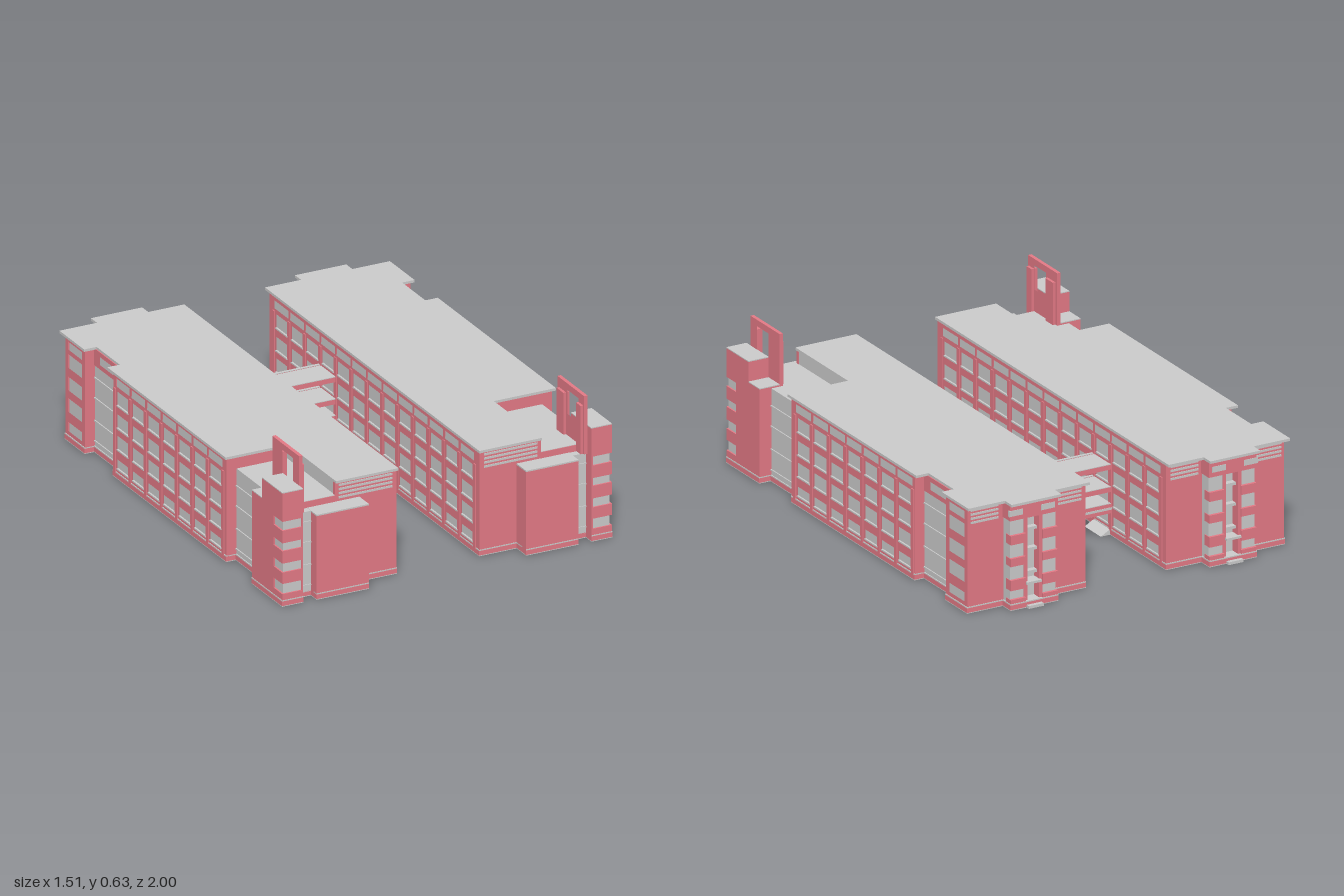
import * as THREE from 'three';

const grey = new THREE.MeshStandardMaterial({ color: 0xcccccc });
const brick = new THREE.MeshStandardMaterial({ color: 0xe47a86 });

const ROWS = [[0.045, 0.085], [0.13, 0.19], [0.225, 0.285], [0.325, 0.385]];
const TOP_STRIP = [0.405, 0.44];
const TOWER_ROWS = [[0.055, 0.1], [0.15, 0.19], [0.245, 0.28], [0.335, 0.375]];
const FLOORS = [0.05, 0.14, 0.24, 0.33];

function add(group, name, mat, geo) {
  const mesh = new THREE.Mesh(geo, mat);
  mesh.name = name;
  group.add(mesh);
}

// Box given by its extents on each axis
function box(group, name, mat, x0, x1, y0, y1, z0, z1) {
  const geo = new THREE.BoxGeometry(x1 - x0, y1 - y0, z1 - z0);
  add(group, name, mat, geo.translate((x0 + x1) / 2, (y0 + y1) / 2, (z0 + z1) / 2));
}

// Horizontal slab from an outline of [x, z] points
function slab(group, name, mat, outline, y0, y1) {
  const shape = new THREE.Shape(outline.map(([x, z]) => new THREE.Vector2(x, z)));
  const geo = new THREE.ExtrudeGeometry(shape, { depth: y1 - y0, bevelEnabled: false });
  add(group, name, mat, geo.rotateX(Math.PI / 2).translate(0, y1, 0));
}

// Upright wall with rectangular openings [u0, u1, v0, v1]; u runs along z (axis 'x') or x (axis 'z')
function wall(group, name, axis, plane, depth, u0, u1, v0, v1, holes = []) {
  const k = axis === 'x' ? -1 : 1;
  const rect = (path, a, b, c, d) => {
    path.moveTo(k * a, c); path.lineTo(k * b, c); path.lineTo(k * b, d); path.lineTo(k * a, d); path.closePath();
    return path;
  };
  const shape = rect(new THREE.Shape(), u0, u1, v0, v1);
  holes.forEach((h) => shape.holes.push(rect(new THREE.Path(), ...h)));
  const geo = new THREE.ExtrudeGeometry(shape, { depth, bevelEnabled: false });
  if (axis === 'x') geo.rotateY(Math.PI / 2).translate(plane, 0, 0);
  else geo.translate(0, 0, plane);
  add(group, name, brick, geo);
}

// Window openings for a row of bays
function bays(centres, width, stripWidth) {
  return centres.flatMap((c) => [
    ...ROWS.map(([a, b]) => [c - width / 2, c + width / 2, a, b]),
    [c - stripWidth / 2, c + stripWidth / 2, ...TOP_STRIP],
  ]);
}

const spaced = (n, first, step) => Array.from({ length: n }, (_, i) => first + i * step);

function louvres(g, x0, x1, z0, z1) {
  for (let i = 0; i < 4; i++) box(g, 'louvre', grey, x0, x1, 0.388 + i * 0.018, 0.397 + i * 0.018, z0, z1);
}

function buildWing() {
  const g = new THREE.Group();

  // Plinth
  const foot = [[0.188, 0.917], [0.36, 0.917], [0.36, 1], [0.6, 1], [0.6, 0.95], [0.66, 0.95], [0.66, 0.998],
    [0.757, 0.998], [0.757, 0.73], [0.704, 0.73], [0.704, 0.492], [0.748, 0.492], [0.748, -0.497], [0.704, -0.497],
    [0.704, -0.743], [0.748, -0.743], [0.748, -0.918], [0.58, -0.918], [0.58, -0.982], [0.355, -0.982],
    [0.355, -0.918], [0.188, -0.918]];
  slab(g, 'groundPlate', grey, foot, 0, 0.003);
  slab(g, 'plinth', brick, foot, 0.003, 0.023);
  slab(g, 'plinthCourse', grey, foot, 0.023, 0.028);

  // Glazed cores behind the brick walls
  box(g, 'mainCore', grey, 0.2, 0.735, 0.02, 0.46, -0.495, 0.48);
  box(g, 'recessCore', grey, 0.2, 0.7, 0.02, 0.46, -0.745, -0.495);
  box(g, 'rearCore', grey, 0.2, 0.735, 0.02, 0.46, -0.905, -0.745);
  box(g, 'frontCore', grey, 0.2, 0.47, 0.02, 0.46, 0.48, 0.905);
  box(g, 'lowFrontCore', grey, 0.47, 0.7, 0.02, 0.405, 0.49, 0.915);

  // Long walls with windows
  const outer = spaced(7, -0.415, 0.135);
  const inner = spaced(13, -0.81, 0.135);
  wall(g, 'outerWall', 'x', 0.733, 0.012, -0.495, 0.49, 0.02, 0.46, bays(outer, 0.093, 0.12));
  wall(g, 'innerWall', 'x', 0.19, 0.012, -0.915, 0.915, 0.02, 0.46, bays(inner, 0.093, 0.12));
  wall(g, 'rearOuterWall', 'x', 0.733, 0.012, -0.915, -0.745, 0.02, 0.46, bays([-0.832], 0.12, 0.12));
  wall(g, 'recessHeader', 'x', 0.7, 0.004, -0.745, -0.495, 0.385, 0.46, [[-0.69, -0.55, ...TOP_STRIP]]);
  for (const z of spaced(8, -0.482, 0.135)) box(g, 'outerPilaster', brick, 0.744, 0.75, 0.02, 0.395, z - 0.009, z + 0.009);
  for (const z of spaced(14, -0.877, 0.135)) box(g, 'innerPilaster', brick, 0.186, 0.191, 0.02, 0.395, z - 0.009, z + 0.009);
  for (const c of outer) for (const [y] of ROWS) box(g, 'outerSill', grey, 0.74, 0.748, y - 0.006, y, c - 0.05, c + 0.05);
  for (const c of inner) for (const [y] of ROWS) box(g, 'innerSill', grey, 0.187, 0.195, y - 0.006, y, c - 0.05, c + 0.05);

  // Cross walls
  box(g, 'frontReturn', brick, 0.46, 0.745, 0.02, 0.46, 0.478, 0.492);
  box(g, 'recessReturn', brick, 0.69, 0.745, 0.02, 0.46, -0.497, -0.485);
  box(g, 'recessReturn', brick, 0.69, 0.745, 0.02, 0.46, -0.755, -0.743);
  box(g, 'frontWall', brick, 0.19, 0.472, 0.02, 0.46, 0.9, 0.916);
  box(g, 'lowFrontWall', brick, 0.472, 0.66, 0.02, 0.403, 0.905, 0.917);
  box(g, 'backWall', brick, 0.19, 0.745, 0.02, 0.46, -0.916, -0.9);
  louvres(g, 0.21, 0.455, 0.91, 0.919);
  louvres(g, 0.21, 0.34, -0.919, -0.91);
  louvres(g, 0.6, 0.73, -0.919, -0.91);

  // Glazing ledges at each floor
  for (const y of FLOORS) {
    box(g, 'glazingLedge', grey, 0.69, 0.705, y - 0.003, y + 0.003, 0.49, 0.73);
    box(g, 'glazingLedge', grey, 0.69, 0.705, y - 0.003, y + 0.003, -0.745, -0.495);
    box(g, 'glazingLedge', grey, 0.6, 0.66, y - 0.003, y + 0.003, 0.9, 0.954);
  }
  box(g, 'cornerGlazing', grey, 0.59, 0.665, 0.02, 0.375, 0.9, 0.95);

  // Front stair block
  box(g, 'stairBlock', brick, 0.36, 0.6, 0.02, 0.37, 0.9, 0.999);
  box(g, 'stairBlockCap', grey, 0.36, 0.6, 0.37, 0.376, 0.9, 1);

  // Corner tower with wrapped windows
  box(g, 'towerStep', brick, 0.66, 0.755, 0.02, 0.411, 0.73, 0.82);
  box(g, 'towerStepCap', grey, 0.66, 0.755, 0.411, 0.415, 0.73, 0.82);
  box(g, 'towerBody', brick, 0.66, 0.755, 0.02, 0.5, 0.82, 0.92);
  box(g, 'towerCorner', grey, 0.662, 0.748, 0.02, 0.49, 0.91, 0.99);
  box(g, 'towerCap', grey, 0.66, 0.755, 0.5, 0.504, 0.82, 0.997);
  const edges = [0.02, ...TOWER_ROWS.flat(), 0.5];
  for (let i = 0; i < edges.length; i += 2) box(g, 'towerBand', brick, 0.66, 0.755, edges[i], edges[i + 1], 0.92, 0.997);
  box(g, 'towerCornerPost', brick, 0.66, 0.667, 0.02, 0.5, 0.92, 0.997);

  // Roof portal beside the tower
  wall(g, 'portalFrame', 'x', 0.645, 0.016, 0.73, 0.963, 0.376, 0.634, [[0.82, 0.912, 0.5, 0.606]]);
  box(g, 'portalPillar', brick, 0.633, 0.66, 0.376, 0.59, 0.745, 0.805);
  box(g, 'portalPillar', brick, 0.633, 0.66, 0.376, 0.59, 0.915, 0.955);

  // Rear entrance bay
  box(g, 'entranceBack', grey, 0.36, 0.575, 0.02, 0.46, -0.93, -0.91);
  box(g, 'entranceHeader', brick, 0.355, 0.58, 0.39, 0.46, -0.978, -0.915);
  for (const [a, b] of [[0.36, 0.425], [0.51, 0.575]]) {
    box(g, 'entranceBayGlass', grey, a, b, 0.02, 0.39, -0.968, -0.915);
    for (let i = 0; i < 4; i++) {
      const y0 = i ? ROWS[i - 1][1] : 0.02;
      box(g, 'entranceSpandrel', brick, a - 0.003, b + 0.003, y0, ROWS[i][0], -0.98, -0.94);
    }
    box(g, 'entranceHeaderWindow', grey, a + 0.01, b + 0.01, 0.41, 0.435, -0.98, -0.97);
  }
  for (const x of [0.432, 0.503]) box(g, 'entrancePillar', brick, x - 0.008, x + 0.008, 0.02, 0.39, -0.972, -0.92);
  for (const y of FLOORS.slice(1)) box(g, 'entranceLanding', grey, 0.435, 0.505, y - 0.006, y + 0.006, -0.955, -0.92);
  box(g, 'entranceStep', grey, 0.435, 0.505, 0, 0.012, -1, -0.96);
  box(g, 'entranceCanopy', grey, 0.435, 0.505, 0.1, 0.11, -0.985, -0.92);

  // Overhanging flat roof
  slab(g, 'roof', grey, [[0.185, 0.925], [0.472, 0.925], [0.472, 0.505], [0.757, 0.505], [0.757, -0.527], [0.7, -0.527],
    [0.7, -0.73], [0.757, -0.73], [0.757, -0.945], [0.585, -0.945], [0.585, -0.998], [0.35, -0.998], [0.35, -0.945],
    [0.185, -0.945]], 0.459, 0.47);

  // Ramp below the bridges
  const ramp = new THREE.Shape([[0.145, 0], [0.19, 0], [0.19, 0.025]].map((p) => new THREE.Vector2(...p)));
  add(g, 'ramp', grey, new THREE.ExtrudeGeometry(ramp, { depth: 0.13, bevelEnabled: false }).translate(0, 0, -0.47));
  return g;
}

// Mirror a wing across x = 0, keeping faces outward
function mirrored(group) {
  const out = new THREE.Group();
  for (const mesh of group.children) {
    const geo = mesh.geometry.index ? mesh.geometry.toNonIndexed() : mesh.geometry.clone();
    geo.scale(-1, 1, 1);
    const p = geo.attributes.position;
    const a = new THREE.Vector3(), b = new THREE.Vector3();
    for (let i = 0; i < p.count; i += 3) {
      a.fromBufferAttribute(p, i + 1);
      b.fromBufferAttribute(p, i + 2);
      p.setXYZ(i + 1, b.x, b.y, b.z);
      p.setXYZ(i + 2, a.x, a.y, a.z);
    }
    geo.computeVertexNormals();
    add(out, mesh.name, mesh.material, geo);
  }
  return out;
}

export function createModel() {
  const model = new THREE.Group();
  const left = buildWing();
  left.name = 'leftWing';
  const right = mirrored(left);
  right.name = 'rightWing';
  model.add(left, right);

  // Link bridges
  const bridges = new THREE.Group();
  bridges.name = 'bridges';
  for (const [y0, y1] of [[0.098, 0.142], [0.191, 0.215], [0.289, 0.313]]) {
    box(bridges, 'bridgeDeck', grey, -0.192, 0.192, y0 + 0.004, y1 - 0.004, -0.47, -0.34);
    for (const z of [-0.48, -0.342]) {
      box(bridges, 'bridgeBeam', brick, -0.192, 0.192, y0, y1 - 0.003, z, z + 0.012);
      box(bridges, 'bridgeCoping', grey, -0.192, 0.192, y1 - 0.003, y1, z, z + 0.012);
    }
  }
  box(bridges, 'lowerBridgeStrip', grey, -0.192, 0.192, 0.114, 0.124, -0.482, -0.328);
  model.add(bridges);
  return model;
}
